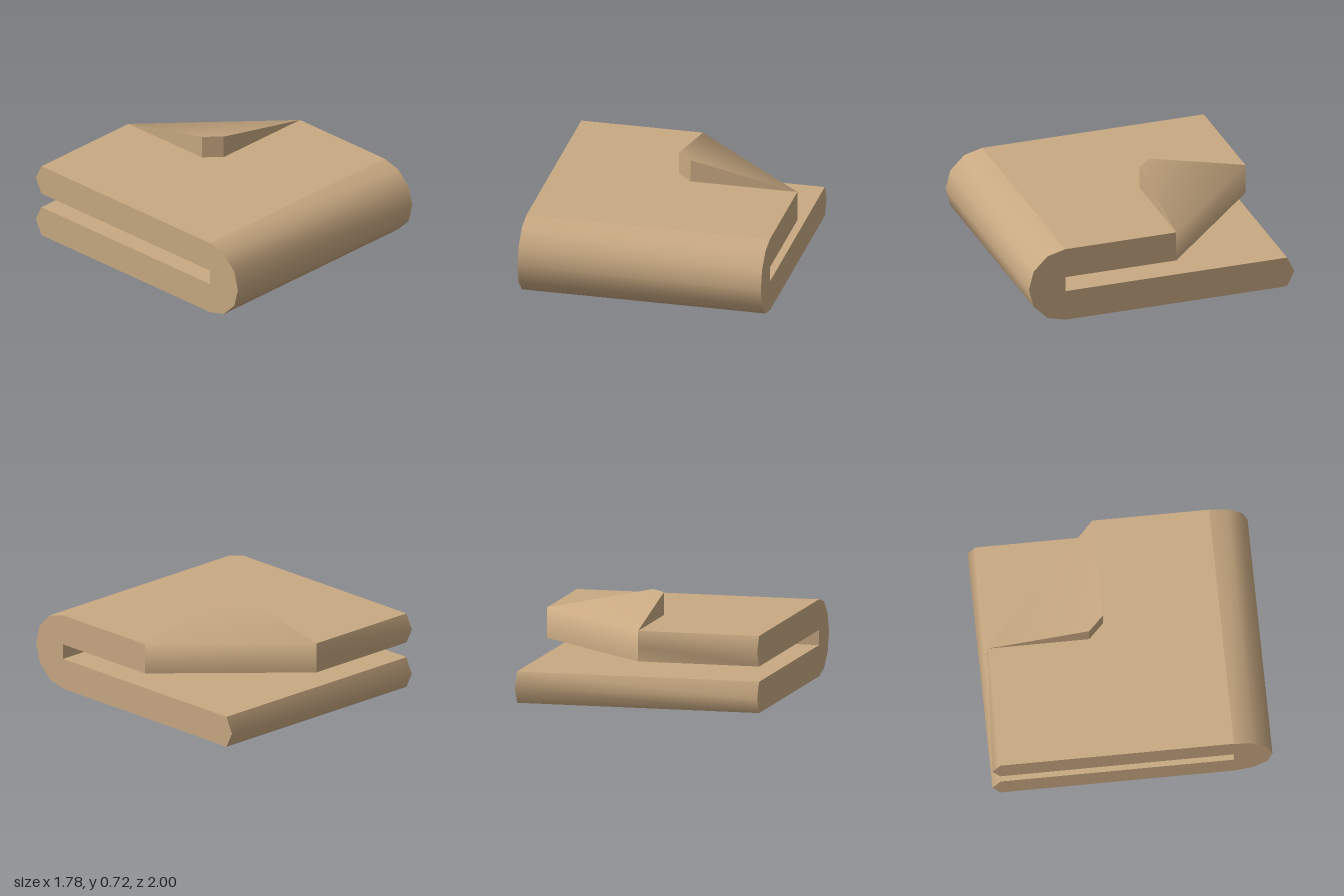
import * as THREE from 'three';

export function createModel() {
  const group = new THREE.Group();
  const tan = new THREE.MeshStandardMaterial({ color: 0xc8a982 });
  tan.name = 'tan cloth';
  const grey = new THREE.MeshStandardMaterial({ color: 0xc9cbd3 });
  grey.name = 'pale grey lining';

  const W = 0.89, BACK = -0.945, FRONT = 0.725, CUT = -0.11;
  const Y1 = 0.225, Y2 = 0.335, TOP = 0.555, PEAK = 0.72;

  const add = (name, geometry, material = tan) => {
    const mesh = new THREE.Mesh(geometry, material);
    mesh.name = name;
    group.add(mesh);
    return mesh;
  };

  // Indexed surface; shared corners shade smoothly
  const surface = (points, index) => {
    const g = new THREE.BufferGeometry();
    g.setAttribute('position', new THREE.Float32BufferAttribute(points.flat(), 3));
    g.setIndex(index);
    g.computeVertexNormals();
    return g;
  };

  // Flat convex polygon, corners counter-clockwise from outside
  const face = (name, points, material) => {
    const index = [];
    for (let i = 1; i < points.length - 1; i++) index.push(0, i, i + 1);
    return add(name, surface(points, index), material);
  };

  // Strip between a [z, y] profile at x0 and another at x1
  const strip = (name, left, right = left, x0 = -W, x1 = W) => {
    const points = [], index = [];
    left.forEach(([z, y], i) => {
      points.push([x0, y, z], [x1, right[i][1], right[i][0]]);
      if (i) {
        const k = 2 * i;
        index.push(k - 2, k, k + 1, k - 2, k + 1, k - 1);
      }
    });
    return add(name, surface(points, index));
  };

  // Rounded front fold and lower layer
  const fold = [[FRONT, TOP], [0.86, 0.52], [0.965, 0.415], [1, 0.28],
    [0.965, 0.14], [0.86, 0.035], [FRONT, 0]];
  const lowerBack = [[BACK, 0], [-1, 0.112], [BACK, Y1]];
  strip('frontFold', fold);
  strip('lowerUnderside', [[FRONT, 0], [BACK, 0]]);
  strip('lowerBackEdge', lowerBack);
  strip('lowerTop', [[BACK, Y1], [FRONT, Y1]]);
  strip('slotEnd', [[FRONT, Y1], [FRONT, Y2]]);

  // Upper layer with one corner cut along the turned-back fold
  const outline = y => [[W, y, FRONT], [W, y, CUT], [0, y, BACK], [-W, y, BACK], [-W, y, FRONT]];
  face('upperTop', outline(TOP));
  face('upperUnderside', outline(Y2).reverse(), grey);
  strip('upperBackEdge',
    [[BACK, Y2], [-1, 0.445], [BACK, TOP]],
    [[BACK, Y2], [BACK, 0.445], [BACK, TOP]], -W, 0);

  // Side faces
  const cap = (name, profile, side) => {
    const shape = new THREE.Shape(profile.map(([z, y]) => new THREE.Vector2(-side * z, y)));
    const mesh = add(name, new THREE.ShapeGeometry(shape));
    mesh.rotation.y = side * Math.PI / 2;
    mesh.position.x = side * W;
  };
  const common = [...fold, ...lowerBack, [FRONT, Y1], [FRONT, Y2]];
  cap('rightSide', [[BACK, TOP], ...common, [BACK, Y2], [-1, 0.445]], -1);
  cap('leftSide', [[CUT, TOP], ...common, [CUT, Y2]], 1);

  // Turned-back corner: diagonal edge rolls smoothly into the sloping flap
  const A = [0, TOP, BACK], B = [W, TOP, CUT];
  const C = [0, PEAK, -0.22], D = [0.11, PEAK, CUT];
  const C0 = [0, TOP, -0.22], D0 = [0.11, TOP, CUT];
  add('foldedCorner', surface(
    [A, B, C, D, [0, Y2, BACK], [W, Y2, CUT]],
    [5, 4, 0, 5, 0, 1, 0, 2, 3, 0, 3, 1]));
  face('flapSide', [A, C0, C]);
  face('flapTip', [C0, D0, D, C]);
  face('flapFront', [D0, B, D]);

  return group;
}
